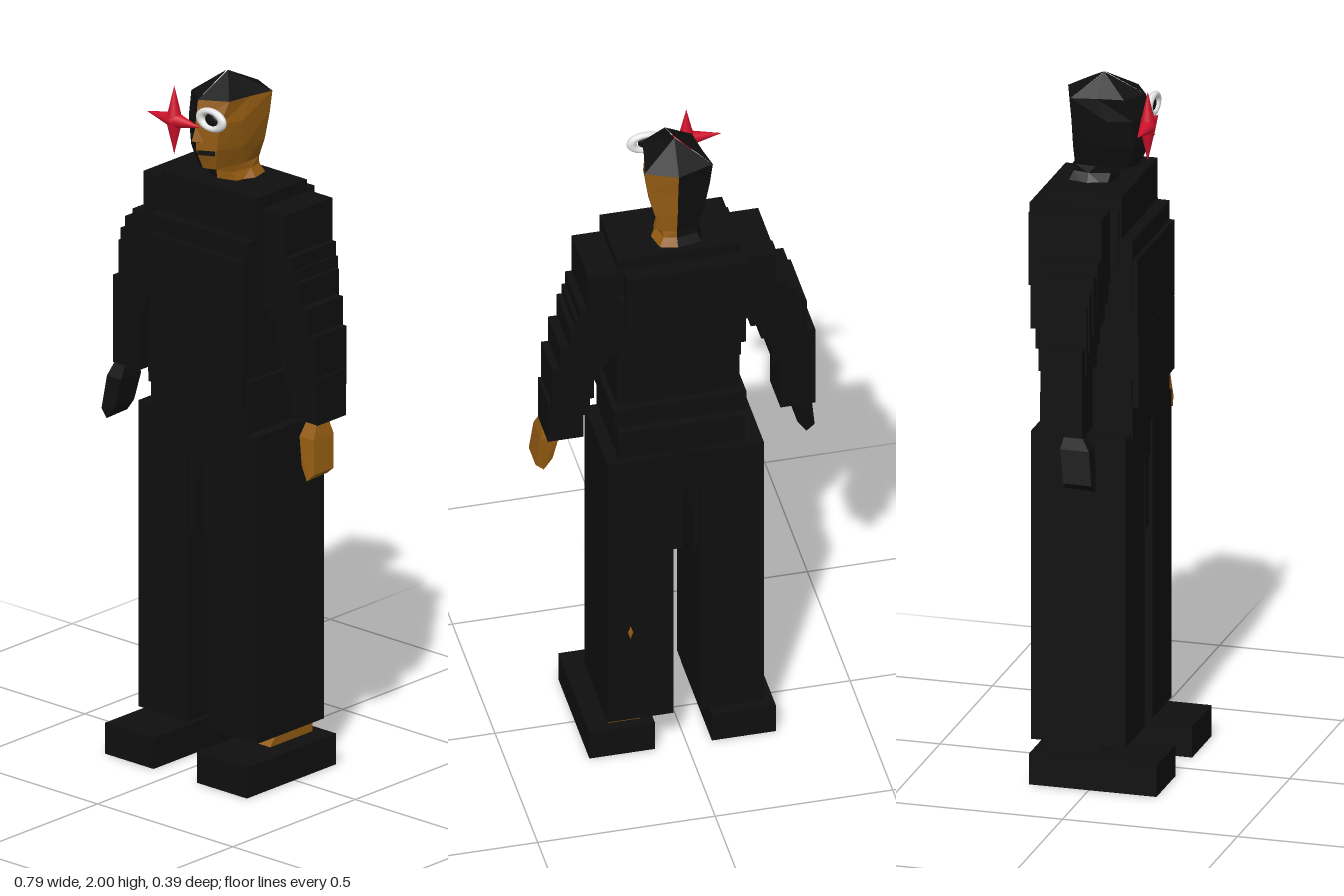
import * as THREE from 'three';
import { ConvexGeometry } from 'three/addons/geometries/ConvexGeometry.js';

const material = (name, color) => {
  const m = new THREE.MeshStandardMaterial({ color });
  m.name = name;
  return m;
};

export function createModel() {
  const model = new THREE.Group();
  const black = material('black cloth', 0x0f0f0f);
  const skin = material('brown skin', 0x945c12);
  const white = material('white', 0xe4e4e4);
  const red = material('red', 0xd0112b);

  const add = (name, geometry, mat, x = 0, y = 0, z = 0, parent = model) => {
    const mesh = new THREE.Mesh(geometry, mat);
    mesh.name = name;
    mesh.position.set(x, y, z);
    parent.add(mesh);
    return mesh;
  };
  // box from its limits on each axis
  const block = (name, [y0, y1, x0, x1, z0, z1], mat = black, parent = model) =>
    add(name, new THREE.BoxGeometry(x1 - x0, y1 - y0, z1 - z0), mat,
      (x0 + x1) / 2, (y0 + y1) / 2, (z0 + z1) / 2, parent);
  const stack = (name, rows) => {
    const group = new THREE.Group();
    group.name = name;
    rows.forEach((row) => block(name + 'Block', row, black, group));
    model.add(group);
  };

  // clothing built of stepped blocks: y0, y1, x0, x1, z0, z1
  stack('torso', [
    [1.45, 1.695, -0.155, 0.19, -0.145, 0.065],
    [1.49, 1.66, -0.17, 0.175, -0.193, 0.06],
    [1.37, 1.575, -0.165, 0.19, -0.172, 0.1],
    [1.30, 1.52, -0.16, 0.19, -0.137, 0.113],
    [1.09, 1.30, -0.16, 0.185, -0.117, 0.115],
    [1.11, 1.17, -0.175, 0.2, -0.14, 0.1],
    [1.00, 1.11, -0.165, 0.19, -0.165, 0.1],
    [0.89, 1.02, -0.16, 0.17, -0.17, 0.09],
  ]);
  stack('leftSleeve', [
    [1.45, 1.66, 0.15, 0.275, -0.155, 0.037],
    [1.37, 1.54, 0.19, 0.295, -0.147, 0.035],
    [1.34, 1.50, 0.215, 0.305, -0.145, 0.033],
    [1.28, 1.47, 0.235, 0.32, -0.132, 0.03],
    [1.21, 1.40, 0.25, 0.345, -0.12, 0.025],
    [1.15, 1.32, 0.26, 0.365, -0.113, 0.02],
    [1.065, 1.20, 0.275, 0.375, -0.1, 0.018],
  ]);
  stack('rightSleeve', [
    [1.45, 1.66, -0.25, -0.14, -0.172, 0.037],
    [1.40, 1.54, -0.29, -0.185, -0.147, 0.037],
    [1.35, 1.51, -0.32, -0.215, -0.145, 0.035],
    [1.30, 1.47, -0.34, -0.24, -0.125, 0.03],
    [1.24, 1.43, -0.352, -0.255, -0.113, 0.025],
    [1.065, 1.32, -0.378, -0.28, -0.1, 0.02],
  ]);
  stack('trousers', [
    [0.12, 1.015, 0.04, 0.225, -0.175, 0.095],
    [0.12, 1.015, -0.215, -0.035, -0.175, 0.095],
    [0.68, 0.92, 0.01, 0.05, -0.165, 0.085],
    [0.67, 0.92, -0.05, -0.018, -0.165, 0.085],
    [0.82, 0.92, -0.03, -0.008, -0.16, 0.08],
  ]);

  // shoes and ankles
  block('leftShoe', [0, 0.09, 0.09, 0.275, -0.17, 0.194]);
  block('rightShoe', [0, 0.09, -0.25, -0.07, -0.17, 0.194]);
  const ankle = new ConvexGeometry([0.07, 0.14].flatMap((y, i) => [
    [-0.045, -0.14], [0.045, -0.14], [0.045, 0.05 - i * 0.06], [-0.045, 0.05 - i * 0.06],
  ].map(([x, z]) => new THREE.Vector3(x, y, z))));
  add('leftAnkle', ankle, skin, 0.17);
  add('rightAnkle', ankle, black, -0.16);
  // calf showing through the back of the left trouser leg
  add('leftCalf', new THREE.OctahedronGeometry(1), skin, 0.16, 0.42, -0.172)
    .scale.set(0.015, 0.045, 0.006);

  // hands, hanging slightly outwards
  const hand = (side) => new ConvexGeometry([
    [0.335, 1.08, -0.03], [0.37, 1.08, -0.03], [0.335, 1.08, 0.01], [0.37, 1.08, 0.01],
    [0.33, 1.03, -0.042], [0.382, 1.03, -0.042], [0.33, 1.03, 0.04], [0.382, 1.03, 0.04],
    [0.345, 0.95, 0.048], [0.393, 0.935, 0.05], [0.345, 0.95, -0.03], [0.393, 0.935, -0.03],
    [0.37, 0.912, 0.055], [0.37, 0.915, -0.03],
  ].map(([x, y, z]) => new THREE.Vector3(x * side, y, z)));
  add('leftHand', hand(1), skin);
  add('rightHand', hand(-1), black);

  // head: half rings from front to back, split down the middle
  const head = new THREE.Group();
  head.name = 'head';
  model.add(head);
  const rings = [
    [1.68, [[0, 0.01], [0.06, -0.01], [0.085, -0.06], [0.07, -0.12], [0.015, -0.135]]],
    [1.72, [[0, 0.015], [0.045, 0], [0.06, -0.06], [0.05, -0.105], [0.015, -0.115]]],
    [1.74, [[0, 0.07], [0.035, 0.055], [0.057, -0.04], [0.053, -0.1], [0.015, -0.115]]],
    [1.80, [[0, 0.098], [0.05, 0.07], [0.073, -0.02], [0.075, -0.1], [0.015, -0.123]]],
    [1.88, [[0, 0.1], [0.062, 0.068], [0.083, 0], [0.093, -0.1], [0.015, -0.13]]],
    [1.945, [[0, 0.09], [0.075, 0.045], [0.087, -0.03], [0.103, -0.1], [0.015, -0.138]]],
    [2.0, Array(5).fill([0.002, -0.03])],
  ];
  const loftHalf = (name, levels, left, mat) => {
    const positions = [];
    const point = (j, i) => {
      const [y, ring] = levels[j];
      const [x, z] = ring[i];
      return [left || i === 4 ? x : -0.87 * x, y, z];
    };
    const face = (a, b, c) => positions.push(...a, ...(left ? b : c), ...(left ? c : b));
    for (let j = 0; j < levels.length - 1; j++) {
      for (let i = 0; i < 4; i++) {
        const a = point(j, i), b = point(j, i + 1), c = point(j + 1, i + 1), d = point(j + 1, i);
        face(a, b, c);
        if (levels[j + 1][0] < 2) face(a, c, d);
      }
    }
    const geometry = new THREE.BufferGeometry();
    geometry.setAttribute('position', new THREE.Float32BufferAttribute(positions, 3));
    geometry.computeVertexNormals();
    add(name, geometry, mat, 0, 0, 0, head);
  };
  loftHalf('faceLeftHalf', rings.slice(0, 6), true, skin);
  loftHalf('faceRightHalf', rings.slice(0, 6), false, black);
  loftHalf('hairLeftHalf', rings.slice(5), true, black);
  loftHalf('hairRightHalf', rings.slice(5), false, black);

  // nose and mouth
  add('nose', new ConvexGeometry([
    [0, 1.875, 0.097], [0, 1.83, 0.116], [0.02, 1.825, 0.09], [-0.008, 1.825, 0.095], [0, 1.82, 0.09],
  ].map((p) => new THREE.Vector3(...p))), skin, 0, 0, 0, head);
  const mouth = block('mouth', [1.787, 1.8, 0, 0.048, 0.078, 0.087], black, head);
  mouth.rotation.y = 0.5;

  // eye: oval white ring with a dark pupil
  const eye = new THREE.Group();
  eye.name = 'eye';
  eye.position.set(0.053, 1.9, 0.094);
  model.add(eye);
  add('eyeRing', new THREE.TorusGeometry(0.04, 0.014, 12, 40), white, 0, 0, 0, eye)
    .scale.set(1, 0.63, 0.75);
  add('pupil', new THREE.SphereGeometry(0.022, 20, 12), black, 0, 0, 0, eye)
    .scale.set(1, 0.8, 0.3);

  // red four-pointed star over the other eye
  const star = new THREE.Group();
  star.name = 'star';
  star.position.set(-0.066, 1.877, 0.114);
  model.add(star);
  for (let i = 0; i < 4; i++) {
    const arm = new THREE.Group();
    arm.name = 'starArm';
    arm.rotation.z = i * Math.PI / 2;
    add('starPoint', new THREE.ConeGeometry(0.023, 0.1, 16), red, 0, 0.05, 0, arm);
    star.add(arm);
  }
  return model;
}
